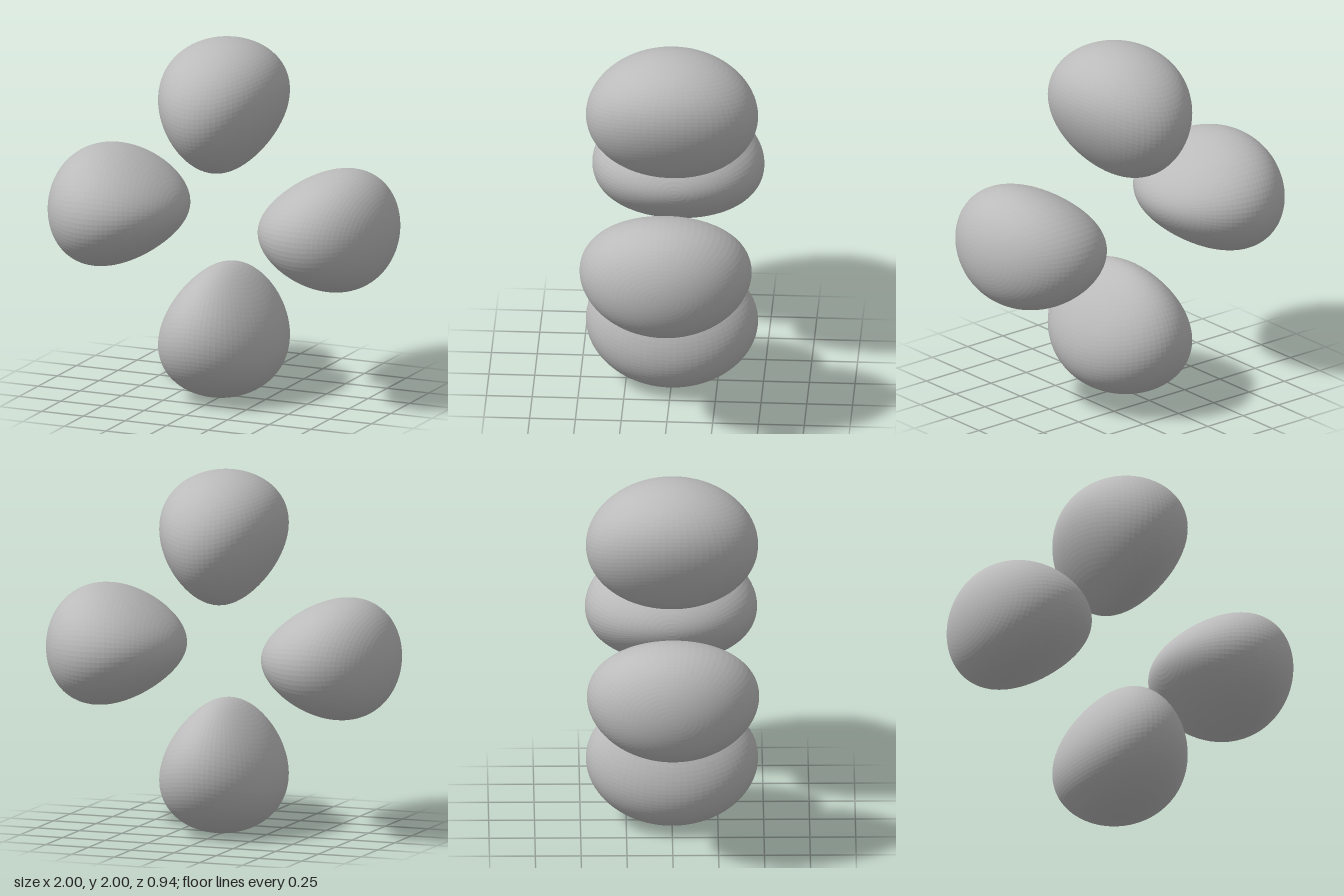
import * as THREE from 'three';

// Teardrop lobe pointing along +x: an ellipsoid bent outward along hyperbolas
function lobeGeometry() {
  const geometry = new THREE.SphereGeometry(1, 72, 44);
  geometry.rotateZ(-Math.PI / 2);
  const p = geometry.attributes.position;
  for (let i = 0; i < p.count; i++) {
    const u = 0.63 + 0.37 * p.getX(i);
    const v = 0.332 * p.getY(i);
    p.setXYZ(i, Math.hypot(u, v), v, 0.47 * p.getZ(i));
  }
  geometry.computeVertexNormals();
  return geometry;
}

export function createModel() {
  const model = new THREE.Group();
  model.name = 'fourLobes';
  const grey = new THREE.MeshStandardMaterial({ color: 0xbbbbbb, flatShading: true });
  grey.name = 'grey';

  // Four equal lobes around the centre
  const geometry = lobeGeometry();
  ['leftLobe', 'topLobe', 'rightLobe', 'bottomLobe'].forEach((name, i) => {
    const lobe = new THREE.Mesh(geometry, grey);
    lobe.name = name;
    lobe.position.y = 1;
    lobe.rotation.z = (i * Math.PI) / 2;
    model.add(lobe);
  });
  return model;
}
